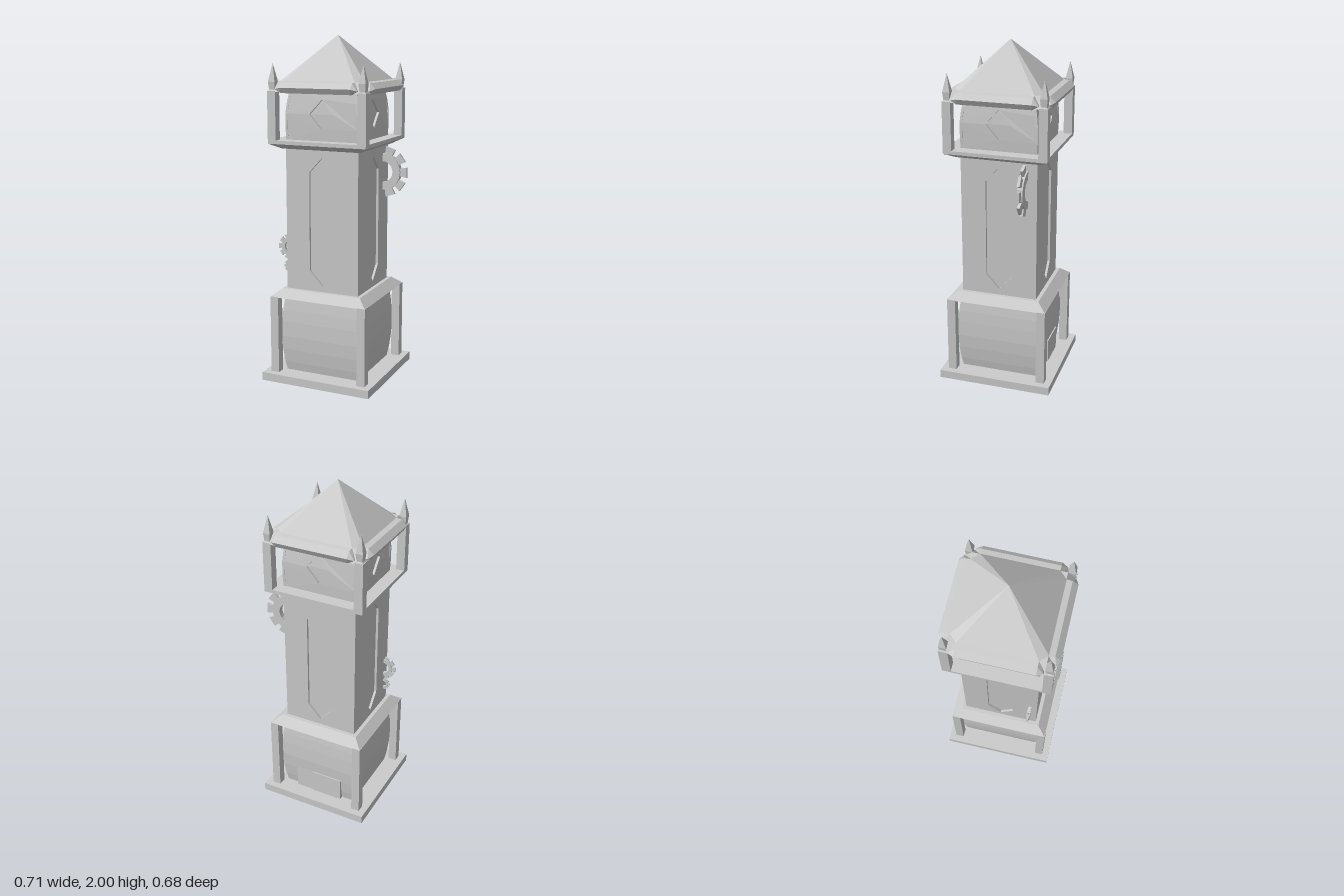
import * as THREE from 'three';
import { ConvexGeometry } from 'three/addons/geometries/ConvexGeometry.js';

const mat = new THREE.MeshStandardMaterial({ color: 0xcccccc, flatShading: true });

export function createModel() {
  const root = new THREE.Group();
  root.name = 'clockTower';
  root.position.x = -0.0175;

  const add = (name, geo, x = 0, y = 0, z = 0, parent = root) => {
    const m = new THREE.Mesh(geo, mat);
    m.name = name;
    m.position.set(x, y, z);
    parent.add(m);
    return m;
  };
  // Square-plan solid from [half width, height] pairs, bottom to top
  const squareLoft = (name, profile) => add(name, new THREE.LatheGeometry(
    profile.map(([h, y]) => new THREE.Vector2(h * Math.SQRT2, y)), 4, Math.PI / 4));
  const box = (name, w, h, d, x, y, z) => add(name, new THREE.BoxGeometry(w, h, d), x, y, z);
  const fourSides = (fn) => { for (let i = 0; i < 4; i++) fn(i * Math.PI / 2); };
  const fourCorners = (fn) => { for (const sx of [-1, 1]) for (const sz of [-1, 1]) fn(sx, sz); };

  // Walls that follow a profile, each with a recessed panel
  const DEPTH = 0.014;
  const walls = (name, profile, opening) => {
    const top = profile[profile.length - 1][1], bottom = profile[0][1];
    squareLoft(name + 'Core', [[0, bottom], ...profile.map(([h, y]) => [h - DEPTH, y]), [0, top]]);
    const halfAt = (y) => {
      for (let i = 1; i < profile.length; i++) {
        const [h0, y0] = profile[i - 1], [h1, y1] = profile[i];
        if (y <= y1 + 1e-5) return h0 + (h1 - h0) * (y - y0) / (y1 - y0);
      }
      return profile[profile.length - 1][0];
    };
    const v = (x, y) => new THREE.Vector2(x, y);
    const shape = new THREE.Shape([
      ...profile.map(([h, y]) => v(h, y)),
      ...profile.slice().reverse().map(([h, y]) => v(-h, y)),
    ]);
    shape.holes.push(new THREE.Path(opening.map(([x, y]) => v(x, y))));
    const geo = new THREE.ExtrudeGeometry(shape, { depth: DEPTH, bevelEnabled: false });
    const p = geo.attributes.position;
    for (let i = 0; i < p.count; i++) p.setZ(i, p.getZ(i) - DEPTH + halfAt(p.getY(i)));
    fourSides((a) => { add(name + 'Wall', geo).rotation.y = a; });
  };

  // Plinth and bulging lower body
  box('plinth', 0.675, 0.048, 0.675, 0, 0.024, 0);
  squareLoft('lowerBody', [[0, 0.04], [0.226, 0.04], [0.237, 0.1], [0.246, 0.18], [0.25, 0.26],
    [0.248, 0.35], [0.243, 0.42], [0.232, 0.51], [0, 0.51]]);
  box('backStep', 0.19, 0.14, 0.06, -0.055, 0.117, -0.223);
  box('backPanel', 0.3, 0.14, 0.06, 0, 0.117, -0.217);

  // Sloping ledge over the lower body
  squareLoft('lowerLedge', [[0, 0.505], [0.298, 0.505], [0.245, 0.55], [0, 0.55]]);

  // Tall shaft with long pointed panels
  walls('shaft', [[0.223, 0.54], [0.223, 1.38]],
    [[0, 0.585], [0.077, 0.67], [0.077, 1.24], [0, 1.325], [-0.077, 1.24], [-0.077, 0.67]]);

  // Flared gallery floor
  squareLoft('galleryFloor', [[0, 1.37], [0.24, 1.37], [0.298, 1.4], [0.298, 1.42], [0, 1.42]]);

  // Upper chamber with diamond panels
  walls('chamber', [[0.221, 1.415], [0.224, 1.485], [0.224, 1.567], [0.217, 1.63], [0.205, 1.7]],
    [[0, 1.484], [0.074, 1.567], [0, 1.65], [-0.074, 1.567]]);

  // Corner posts and pinnacles
  fourCorners((sx, sz) => {
    box('lowerPost', 0.05, 0.465, 0.05, sx * 0.273, 0.275, sz * 0.273);
    box('upperPost', 0.05, 0.285, 0.05, sx * 0.273, 1.5525, sz * 0.273);
    const pin = squareLoft('pinnacle', [[0, 1.68], [0.014, 1.68], [0.021, 1.745], [0, 1.845]]);
    pin.position.set(sx * 0.273, 0, sz * 0.273);
  });

  // Roof: skirt, eaves on each side, and a pyramid with clipped corners
  squareLoft('roofSkirt', [[0, 1.69], [0.298, 1.69], [0.252, 1.75], [0, 1.75]]);
  const eave = [];
  for (const s of [-1, 1]) {
    for (const [z, y] of [[0.24, 1.752], [0.285, 1.745], [0.317, 1.715], [0.3, 1.685], [0.24, 1.685]])
      eave.push(new THREE.Vector3(s * 0.212, y, z));
    eave.push(new THREE.Vector3(s * 0.247, 1.705, 0.3), new THREE.Vector3(s * 0.247, 1.7, 0.24));
  }
  const eaveGeo = new ConvexGeometry(eave);
  fourSides((a) => { add('eave', eaveGeo).rotation.y = a; });
  const roof = [new THREE.Vector3(0, 2, 0)];
  fourCorners((sx, sz) => roof.push(
    new THREE.Vector3(sx * 0.212, 1.75, sz * 0.253), new THREE.Vector3(sx * 0.253, 1.75, sz * 0.212)));
  add('roof', new ConvexGeometry(roof));

  // Gears half sunk into the sides of the shaft
  const gear = (name, x, y, z, hole, rim, outer, thick, teeth) => {
    const g = new THREE.Group();
    g.name = name;
    g.position.set(x, y, z);
    root.add(g);
    const ring = new THREE.Shape().absarc(0, 0, rim, 0, Math.PI * 2);
    ring.holes.push(new THREE.Path().absarc(0, 0, hole, 0, Math.PI * 2));
    add('gearRing', new THREE.ExtrudeGeometry(ring, { depth: thick, bevelEnabled: false, curveSegments: 10 }),
      0, 0, -thick / 2, g);
    const r0 = rim * 0.93, w0 = rim * 0.2, w1 = rim * 0.28, t = thick * 0.5;
    const tooth = new THREE.Shape([[r0, -w0], [outer, -w1], [outer, w1], [r0, w0]]
      .map(([a, b]) => new THREE.Vector2(a, b)));
    const toothGeo = new THREE.ExtrudeGeometry(tooth, { depth: t, bevelEnabled: false });
    for (let i = 0; i < teeth; i++)
      add('gearTooth', toothGeo, 0, 0, -t / 2, g).rotation.z = i * Math.PI * 2 / teeth;
  };
  gear('largeGear', 0.223, 1.213, -0.155, 0.062, 0.108, 0.147, 0.033, 10);
  gear('smallGear', -0.223, 0.787, 0.18, 0.034, 0.055, 0.074, 0.02, 10);
  gear('tinyGear', -0.223, 0.67, 0.18, 0.02, 0.03, 0.04, 0.014, 10);

  return root;
}
